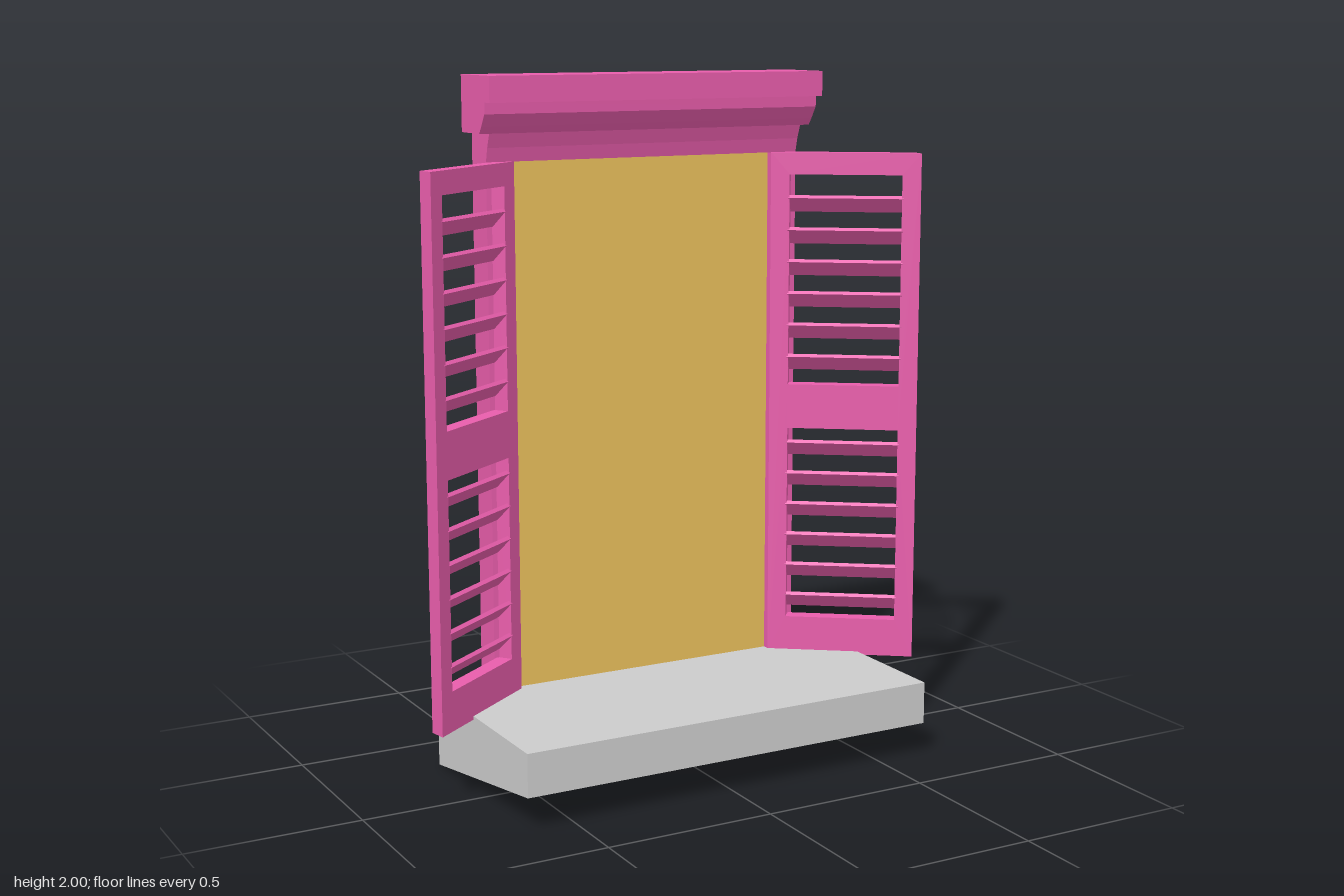
import * as THREE from 'three';

const material = (color) =>
  new THREE.MeshStandardMaterial({ color, flatShading: true, side: THREE.DoubleSide });
const pink = material(0xe85dab);
const gold = material(0xe9bf5c);
const grey = material(0xcccccc);

const BACK = -0.31, FACE = -0.215, REVEAL = -0.235;
const SILL_TOP = 0.225, HEAD = 1.76;

function part(name, geometry, mat) {
  const mesh = new THREE.Mesh(geometry, mat);
  mesh.name = name;
  return mesh;
}

// Sweeps an open profile from a to b; place(p, t) gives the 3D point.
function sweep(profile, a, b, place, closeEnds = false) {
  const pos = [];
  const add = (p, t) => pos.push(...place(p, t));
  for (let i = 0; i < profile.length - 1; i++) {
    const p = profile[i], q = profile[i + 1];
    add(p, a); add(q, a); add(q, b);
    add(p, a); add(q, b); add(p, b);
  }
  if (closeEnds) {
    const contour = profile.map(([x, y]) => new THREE.Vector2(x, y));
    for (const f of THREE.ShapeUtils.triangulateShape(contour, [])) {
      f.forEach((i) => add(profile[i], b));
      [...f].reverse().forEach((i) => add(profile[i], a));
    }
  }
  const g = new THREE.BufferGeometry();
  g.setAttribute('position', new THREE.Float32BufferAttribute(pos, 3));
  g.computeVertexNormals();
  return g;
}

// Moulding running across the width, open at the back; profile is [z, y].
const moulding = (profile, halfWidth) =>
  sweep(profile, -halfWidth, halfWidth, ([z, y], x) => [x, y, z], true);

function rectangle(PathType, x0, x1, y0, y1) {
  return new PathType([[x0, y0], [x1, y0], [x1, y1], [x0, y1]].map((p) => new THREE.Vector2(...p)));
}

// Louvred shutter, hinged at x = 0; side is +1 or -1.
function createShutter(side) {
  const shutter = new THREE.Group();
  shutter.name = side > 0 ? 'leftShutter' : 'rightShutter';
  const length = 0.447, thick = 0.046, bevel = 0.022;
  const inner = 0.056, outer = 0.391;

  // Panel with two openings
  const shape = rectangle(THREE.Shape, 0, side * length, 0.215, HEAD);
  for (const [y0, y1] of [[0.33, 0.925], [1.06, 1.695]])
    shape.holes.push(rectangle(THREE.Path, side * inner, side * outer, y0, y1));
  const panel = new THREE.ExtrudeGeometry(shape, { depth: thick, bevelEnabled: false });
  panel.translate(0, 0, -thick);

  // Slant both upright ends towards the back
  const p = panel.attributes.position;
  for (let i = 0; i < p.count; i++) {
    if (p.getZ(i) > -thick / 2) continue;
    const u = p.getX(i) * side;
    if (u < 0.001) p.setX(i, side * bevel);
    if (u > length - 0.001) p.setX(i, side * (length - bevel));
  }
  panel.computeVertexNormals();
  shutter.add(part('shutterFrame', panel, pink));

  // Slats, top edge leaning forward
  const slat = new THREE.BoxGeometry(outer - inner + 0.01, 0.06, 0.012);
  for (const top of [1.607, 0.862])
    for (let i = 0; i < 6; i++) {
      const mesh = part('slat', slat, pink);
      mesh.position.set((side * (inner + outer)) / 2, top - i * 0.096, -thick / 2);
      mesh.rotation.x = 0.76;
      shutter.add(mesh);
    }

  shutter.position.set(side * 0.42, 0, FACE);
  shutter.rotation.y = -side * 0.635;
  return shutter;
}

export function createModel() {
  const model = new THREE.Group();
  model.name = 'shutteredWindow';

  // Sloping sill
  model.add(part('sill', moulding(
    [[BACK, SILL_TOP], [-BACK, SILL_TOP], [-BACK, 0.1], [BACK, 0]], 0.645), grey));

  // Pane
  const pane = part('pane', new THREE.PlaneGeometry(0.84, HEAD - SILL_TOP), gold);
  pane.position.set(0, (HEAD + SILL_TOP) / 2, REVEAL);
  model.add(pane);

  // Cornice above the opening, with the narrower frieze below it
  model.add(part('cornice', moulding([
    [BACK, 2], [-0.117, 2], [-0.117, 1.927], [-0.15, 1.927],
    [-0.152, 1.895], [-0.175, 1.86], [-0.19, 1.84], [BACK, 1.84],
  ].slice(0, 7).concat([[BACK, 1.84]]).slice(0, 7), 0.535), pink));
  const cheek = new THREE.PlaneGeometry(0.03, 0.12).rotateX(Math.PI / 2);
  const friezeProfile = [[-0.19, 1.84], [-0.205, 1.8], [FACE, HEAD], [REVEAL, HEAD]];
  model.add(part('frieze', sweep(friezeProfile, -0.505, 0.505, ([z, y], x) => [x, y, z]), pink));

  // Both sides: jambs, cornice ends and shutters
  const jambProfile = [[0.505, BACK], [0.505, FACE], [0.42, FACE], [0.42, REVEAL]];
  const endShape = new THREE.Shape([[BACK, 1.84], [-0.19, 1.84], [-0.205, 1.8], [FACE, HEAD], [BACK, HEAD]]
    .map(([z, y]) => new THREE.Vector2(-z, y)));
  const cornerShape = new THREE.Shape([[BACK, 2], [-0.19, 1.84], [BACK, 1.84]]
    .map(([z, y]) => new THREE.Vector2(-z, y)));
  for (const side of [1, -1]) {
    model.add(part('jamb', sweep(jambProfile, SILL_TOP, HEAD,
      ([x, z], y) => [side * x, y, z]), pink));

    const ledge = part('corniceLedge', cheek, pink);
    ledge.position.set(side * 0.52, 1.84, -0.25);
    model.add(ledge);

    for (const [name, shape, x] of [['friezeEnd', endShape, 0.505], ['corniceEnd', cornerShape, 0.535]]) {
      const end = part(name, new THREE.ShapeGeometry(shape), pink);
      end.rotation.y = Math.PI / 2;
      end.position.x = side * x;
      model.add(end);
    }
    model.add(createShutter(side));
  }
  return model;
}
